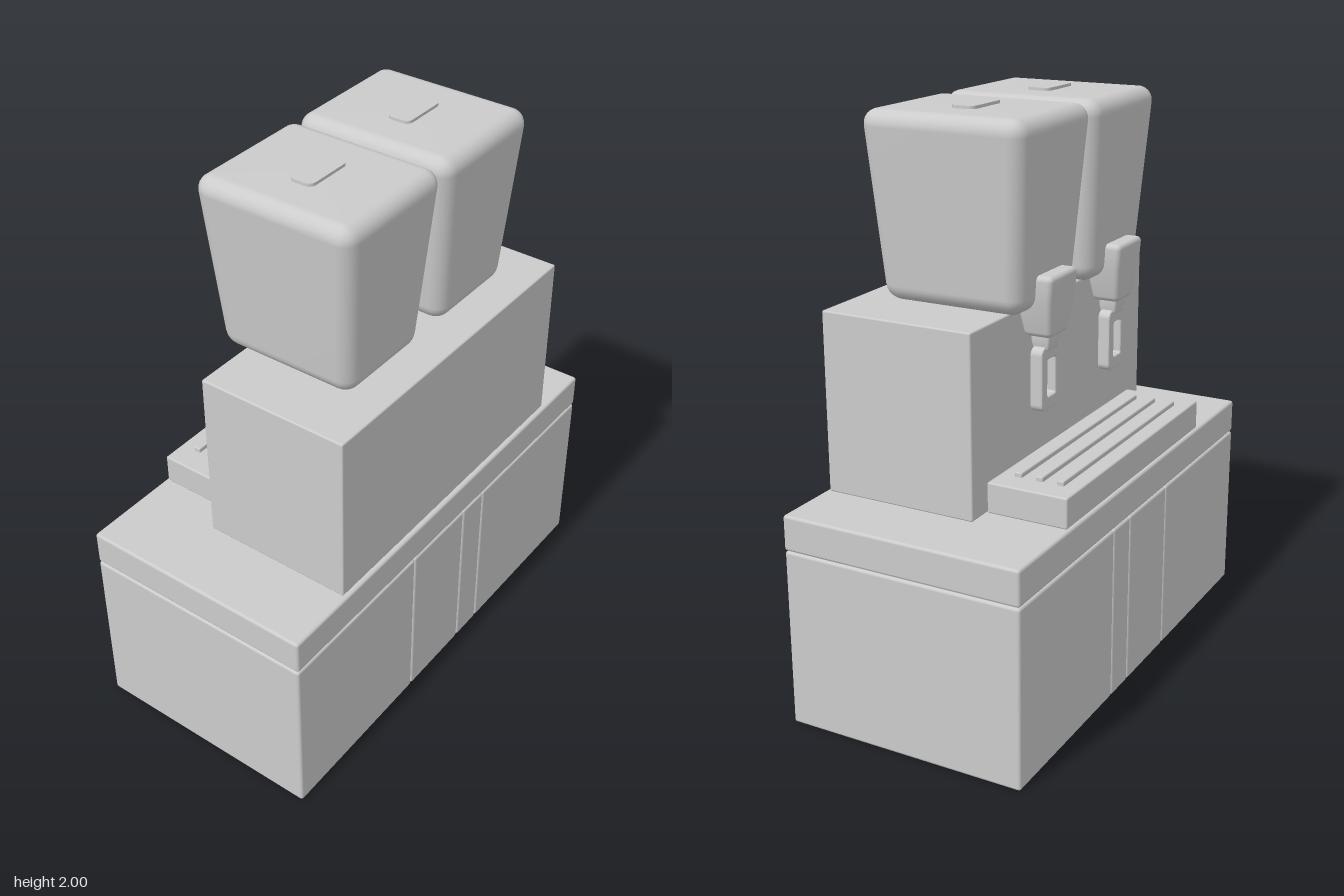
import * as THREE from 'three';
import { RoundedBoxGeometry } from 'three/addons/geometries/RoundedBoxGeometry.js';

const material = new THREE.MeshStandardMaterial({ color: 0xcccccc });

function add(parent, name, geometry, x = 0, y = 0, z = 0) {
  const mesh = new THREE.Mesh(geometry, material);
  mesh.name = name;
  mesh.position.set(x, y, z);
  parent.add(mesh);
  return mesh;
}

// Softly bevelled box given by its minimum and maximum on each axis
function box(parent, name, [x0, x1], [y0, y1], [z0, z1], r = 0.008) {
  const geometry = new RoundedBoxGeometry(x1 - x0, y1 - y0, z1 - z0, 2, r);
  return add(parent, name, geometry, (x0 + x1) / 2, (y0 + y1) / 2, (z0 + z1) / 2);
}

// Rounded rectangle of points in the xz plane
function roundedRing(w, d, r, steps = 6) {
  const points = [];
  [[1, 1], [-1, 1], [-1, -1], [1, -1]].forEach(([sx, sz], q) => {
    for (let i = 0; i <= steps; i++) {
      const t = (q + i / steps) * Math.PI / 2;
      points.push([sx * (w / 2 - r) + r * Math.cos(t), sz * (d / 2 - r) + r * Math.sin(t)]);
    }
  });
  return points;
}

// Rounded solid through levels [y, width, depth], listed from bottom to top
function taperedSolid(levels, r) {
  const rings = [];
  const arc = 6;
  const addRing = (y, w, d, inset) =>
    rings.push([y, roundedRing(w - 2 * inset, d - 2 * inset, Math.max(r - inset, 0.003))]);
  const widthAt = (y) => {
    let i = 0;
    while (i < levels.length - 2 && y > levels[i + 1][0]) i++;
    const [a, b] = [levels[i], levels[i + 1]];
    const t = (y - a[0]) / (b[0] - a[0]);
    return [a[1] + (b[1] - a[1]) * t, a[2] + (b[2] - a[2]) * t];
  };
  const bottom = levels[0][0], top = levels[levels.length - 1][0];
  for (let i = 0; i <= arc; i++) {
    const t = i / arc * Math.PI / 2;
    const y = bottom + r * (1 - Math.sin(t));
    rings.unshift([y, null, t]);
  }
  rings.length = 0;
  for (let i = 0; i <= arc; i++) {
    const t = i / arc * Math.PI / 2;
    const y = bottom + r * (1 - Math.cos(t));
    addRing(y, ...widthAt(y), r * (1 - Math.sin(t)));
  }
  levels.slice(1, -1).forEach(([y, w, d]) => addRing(y, w, d, 0));
  for (let i = 0; i <= arc; i++) {
    const t = i / arc * Math.PI / 2;
    const y = top - r * (1 - Math.sin(t));
    addRing(y, ...widthAt(y), r * (1 - Math.cos(t)));
  }
  const n = rings[0][1].length;
  const positions = [];
  const index = [];
  rings.forEach(([y, points]) => points.forEach(([x, z]) => positions.push(x, y, z)));
  for (let k = 0; k < rings.length - 1; k++) {
    for (let j = 0; j < n; j++) {
      const a = k * n + j, b = k * n + (j + 1) % n;
      index.push(a, a + n, b, b, a + n, b + n);
    }
  }
  const c = rings.length * n;
  positions.push(0, bottom, 0, 0, top, 0);
  for (let j = 0; j < n; j++) {
    const next = (j + 1) % n;
    index.push(c, j, next, c + 1, c - n + next, c - n + j);
  }
  const geometry = new THREE.BufferGeometry();
  geometry.setAttribute('position', new THREE.Float32BufferAttribute(positions, 3));
  geometry.setIndex(index);
  geometry.computeVertexNormals();
  return geometry;
}

function roundedOutline(target, w, h, r) {
  const x = w / 2, y = h / 2;
  target.moveTo(-x + r, -y);
  target.lineTo(x - r, -y).absarc(x - r, -y + r, r, -Math.PI / 2, 0);
  target.lineTo(x, y - r).absarc(x - r, y - r, r, 0, Math.PI / 2);
  target.lineTo(-x + r, y).absarc(-x + r, y - r, r, Math.PI / 2, Math.PI);
  target.lineTo(-x, -y + r).absarc(-x + r, -y + r, r, Math.PI, Math.PI * 1.5);
  return target;
}

export function createModel() {
  const model = new THREE.Group();
  model.name = 'coffeeStation';

  // Counter: four cabinets under one worktop
  const cabinetEdges = [-0.863, -0.211, -0.085, 0.217, 0.863];
  for (let i = 0; i < 4; i++) {
    box(model, 'cabinet', [-0.43, 0.428], [0, 0.622], [cabinetEdges[i], cabinetEdges[i + 1]], 0.01);
  }
  box(model, 'worktop', [-0.43, 0.428], [0.625, 0.748], [-0.865, 0.863], 0.01);

  // Machine body
  box(model, 'machineBody', [-0.133, 0.413], [0.748, 1.366], [-0.629, 0.608], 0.006);

  // Drip tray with raised bars
  box(model, 'dripTray', [-0.42, -0.135], [0.748, 0.853], [-0.54, 0.51], 0.006);
  for (const x of [-0.352, -0.277, -0.202]) {
    box(model, 'trayBar', [x - 0.013, x + 0.013], [0.84, 0.869], [-0.456, 0.426], 0.005);
  }

  // Bean hoppers with lid knobs
  const hopper = taperedSolid([[1.37, 0.508, 0.378], [1.99, 0.588, 0.492]], 0.055);
  const knob = new THREE.ExtrudeGeometry(roundedOutline(new THREE.Shape(), 0.086, 0.184, 0.024),
    { depth: 0.03, bevelEnabled: false, curveSegments: 6 });
  knob.rotateX(-Math.PI / 2);

  // Dispensing head, neck and open handle loop
  const head = taperedSolid([[1.28, 0.098, 0.12], [1.4, 0.126, 0.182], [1.49, 0.138, 0.188]], 0.018);
  const neck = taperedSolid([[1.23, 0.055, 0.07], [1.262, 0.066, 0.085], [1.295, 0.066, 0.085]], 0.008);
  const loopShape = roundedOutline(new THREE.Shape(), 0.125, 0.205, 0.02);
  loopShape.holes.push(roundedOutline(new THREE.Path(), 0.065, 0.135, 0.012));
  const loop = new THREE.ExtrudeGeometry(loopShape,
    { depth: 0.034, bevelThickness: 0.005, bevelSize: 0.005, bevelSegments: 2, curveSegments: 5 });
  loop.translate(0, 0, -0.017);
  loop.rotateY(Math.PI / 2);

  for (const z of [-0.26, 0.237]) {
    add(model, 'hopper', hopper, 0.05, 0, z);
    add(model, 'lidKnob', knob, 0.052, 1.97, z);
    const dispenser = new THREE.Group();
    dispenser.name = 'dispenser';
    dispenser.position.set(-0.197, 0, z);
    add(dispenser, 'dispenserHead', head);
    add(dispenser, 'dispenserNeck', neck);
    add(dispenser, 'handleLoop', loop, 0, 1.138, 0);
    model.add(dispenser);
  }

  return model;
}
